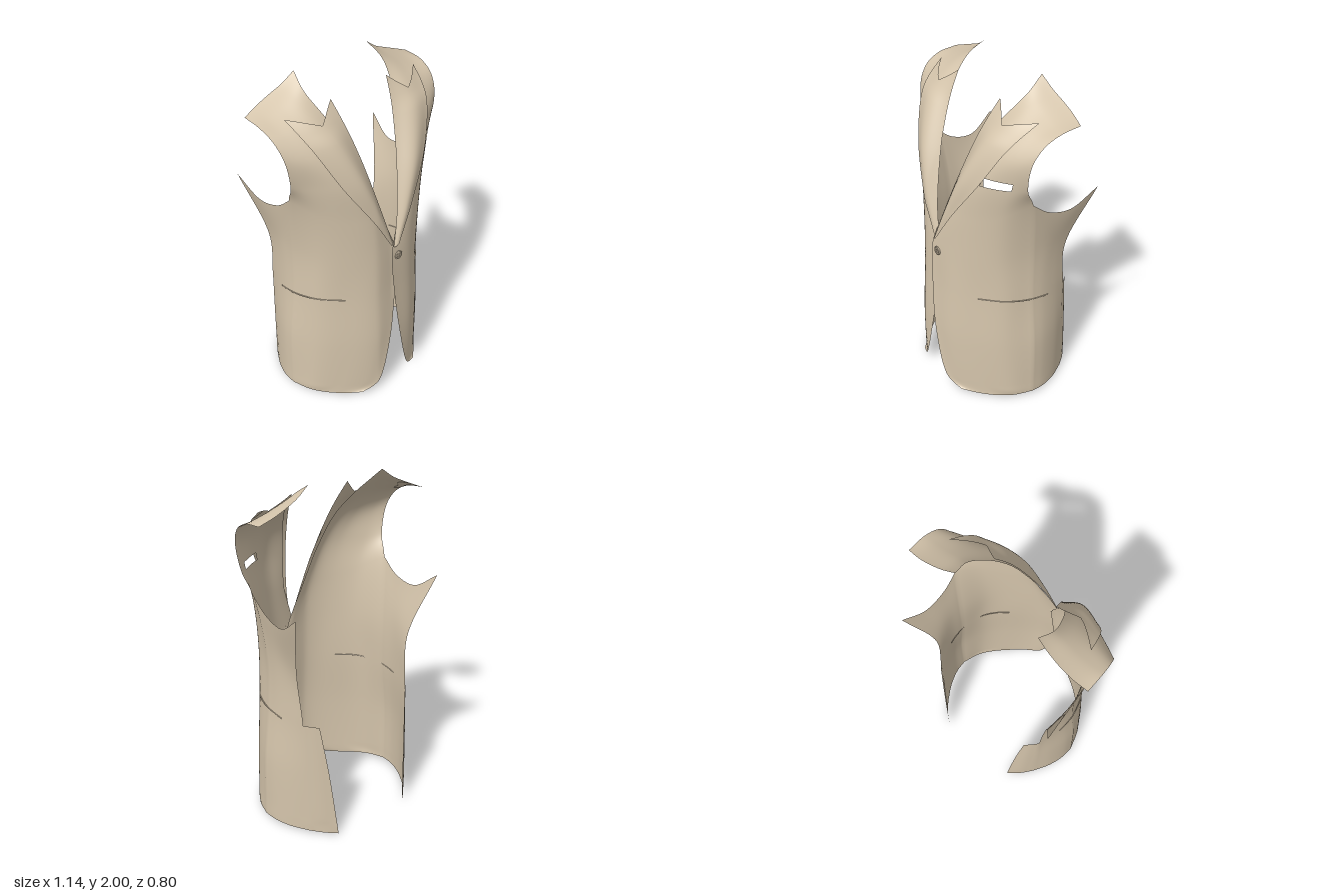
import * as THREE from 'three';
import { mergeGeometries, mergeVertices } from 'three/addons/utils/BufferGeometryUtils.js';

const STEPS = 12; // rows between two neighbouring control levels

const column = (...pts) => new THREE.CatmullRomCurve3(pts.map((p) => new THREE.Vector3(...p)));

// Columns run from hem to top, ordered from the front edge round to the back
const frontEdge = column([.22, .02, .345], [.15, .05, .372], [.108, .1, .388], [.03, .4, .398],
  [-.015, .75, .38], [-.022, 1.0, .363], [.065, 1.25, .318], [.13, 1.5, .24],
  [.185, 1.69, .16], [.24, 1.82, .065], [.275, 1.93, -.05], [.255, 2, -.15]);
const innerChest = column([.29, .012, .28], [.24, .05, .315], [.2, .1, .342], [.15, .4, .368],
  [.14, .75, .352], [.13, 1.03, .342], [.16, 1.26, .32], [.21, 1.5, .278],
  [.27, 1.68, .2], [.32, 1.81, .085], [.34, 1.9, -.045], [.33, 1.947, -.16]);
const outerChest = column([.37, .014, .2], [.34, .05, .23], [.31, .1, .258], [.28, .4, .28],
  [.27, .75, .268], [.26, 1.03, .275], [.27, 1.27, .272], [.31, 1.5, .25],
  [.37, 1.68, .18], [.41, 1.8, .075], [.42, 1.868, -.045], [.41, 1.91, -.168]);
const sideChest = column([.435, .02, .11], [.43, .05, .125], [.423, .1, .135], [.4, .4, .158],
  [.385, .74, .15], [.37, 1.03, .168], [.39, 1.32, .175], [.43, 1.505, .168],
  [.47, 1.68, .142], [.49, 1.79, .062], [.5, 1.842, -.04], [.49, 1.877, -.168]);
const armhole = column([.474, .025, 0], [.474, .05, 0], [.473, .1, 0], [.467, .4, 0],
  [.435, .74, 0], [.433, 1.03, 0], [.479, 1.4, .046], [.507, 1.52, .103],
  [.54, 1.69, .105], [.56, 1.785, .05], [.571, 1.832, -.04], [.572, 1.845, -.157]);
const sideBack = column([.468, .022, -.08], [.468, .05, -.08], [.467, .1, -.08], [.461, .4, -.08],
  [.435, .73, -.08], [.436, 1.03, -.08], [.477, 1.317, -.06]);
const rearBack = column([.434, .015, -.18], [.434, .05, -.18], [.434, .1, -.18], [.43, .4, -.18],
  [.418, .72, -.17], [.428, 1.03, -.16], [.485, 1.29, -.2]);
const backEdge = column([.375, .01, -.28], [.376, .05, -.28], [.377, .1, -.278], [.385, .4, -.265],
  [.39, .7, -.255], [.413, 1.0, -.235], [.51, 1.39, -.355]);
const ventMiddle = column([.32, .006, -.345], [.322, .05, -.342], [.325, .1, -.34], [.34, .4, -.318],
  [.358, .697, -.29]);
const ventEdge = column([.255, 0, -.4], [.259, .05, -.396], [.263, .1, -.39], [.29, .4, -.357],
  [.325, .69, -.318]);

const lapelFold = column([-.008, 1.03, .362], [.043, 1.22, .325], [.107, 1.5, .245],
  [.15, 1.7, .17], [.173, 1.8, .122], [.195, 1.9, .063]);
const lapelMiddle = column([.005, 1.035, .37], [.09, 1.24, .35], [.19, 1.5, .302],
  [.27, 1.72, .205], [.3, 1.8, .135], [.325, 1.88, .06]);
const lapelOuter = column([.022, 1.045, .372], [.15, 1.26, .338], [.3, 1.5, .27],
  [.405, 1.72, .172], [.433, 1.79, .105], [.456, 1.858, .01]);

// Surface grid across the columns; "trim" shortens it, "hole" leaves cells out
function patch(columns, levels, nU, side, { trim = () => 1, hole = () => false } = {}) {
  const rows = levels * STEPS, pos = [], index = [];
  for (let r = 0; r <= rows; r++) {
    for (let c = 0; c <= nU; c++) {
      const u = c / nU, level = (r / STEPS) * trim(u);
      const across = new THREE.CatmullRomCurve3(
        columns.map((k) => k.getPoint(Math.min(1, level / (k.points.length - 1)))));
      const p = across.getPoint(u);
      // the right front tucks under the left one near the centre
      const tuck = side < 0 ? .022 * Math.max(0, 1 - Math.abs(p.x) / .12) : 0;
      pos.push(p.x * side, p.y, p.z - tuck);
    }
  }
  for (let r = 0; r < rows; r++) {
    for (let c = 0; c < nU; c++) {
      if (hole(r, c)) continue;
      const a = r * (nU + 1) + c, b = a + 1, d = a + nU + 1, e = d + 1;
      if (side > 0) index.push(a, b, e, a, e, d);
      else index.push(a, e, b, a, d, e);
    }
  }
  const g = new THREE.BufferGeometry();
  g.setAttribute('position', new THREE.Float32BufferAttribute(pos, 3));
  g.setIndex(index);
  return g;
}

function smooth(parts) {
  const g = mergeVertices(mergeGeometries(parts), 1e-4);
  g.computeVertexNormals();
  return g;
}

export function createModel() {
  const model = new THREE.Group();
  model.name = 'jacketFront';
  const cloth = new THREE.MeshStandardMaterial({ color: 0xd4c4ab, side: THREE.DoubleSide });
  cloth.name = 'tan cloth';
  const add = (name, geometry, parent = model) => {
    const m = new THREE.Mesh(geometry, cloth);
    m.name = name;
    parent.add(m);
    return m;
  };

  for (const side of [1, -1]) {
    const label = side > 0 ? 'left' : 'right';

    // Body panel: front, side and vent flap; the left chest has an open pocket
    const pocket = (r, c) => side > 0 && r >= 84 && r < 87 && c >= 15 && c < 25;
    add(label + 'Panel', smooth([
      patch([frontEdge, innerChest, outerChest, sideChest, armhole], 11, 32, side, { hole: pocket }),
      patch([armhole, sideBack, rearBack, backEdge], 6, 18, side),
      patch([backEdge, ventMiddle, ventEdge], 4, 8, side),
    ]));

    // Peaked lapel with a V notch along its top
    const notch = (u) => 1 - .17 * (1 - Math.abs(2 * u - 1));
    add(label + 'Lapel', smooth([
      patch([lapelFold, lapelMiddle, lapelOuter], 5, 20, side, { trim: notch }),
    ]));

    // Waist pocket welt
    const welt = column([.28 * side, .735, .262], [.335 * side, .738, .211], [.386 * side, .736, .149],
      [.42 * side, .731, .077], [.437 * side, .722, 0], [.436 * side, .711, -.07], [.432 * side, .702, -.115]);
    add(label + 'PocketWelt', new THREE.TubeGeometry(welt, 40, .0035, 6));
  }

  // Button with raised rim and four stitches
  const button = new THREE.Group();
  button.name = 'button';
  button.position.set(.026, .96, .364);
  model.add(button);
  add('buttonDisc', new THREE.CylinderGeometry(.025, .025, .008, 28).rotateX(Math.PI / 2), button);
  add('buttonRim', new THREE.TorusGeometry(.022, .004, 8, 28), button).position.z = .003;
  for (const x of [-1, 1]) {
    for (const y of [-1, 1]) {
      add('buttonStitch', new THREE.SphereGeometry(.003, 8, 6), button).position.set(x * .006, y * .006, .004);
    }
  }
  return model;
}
